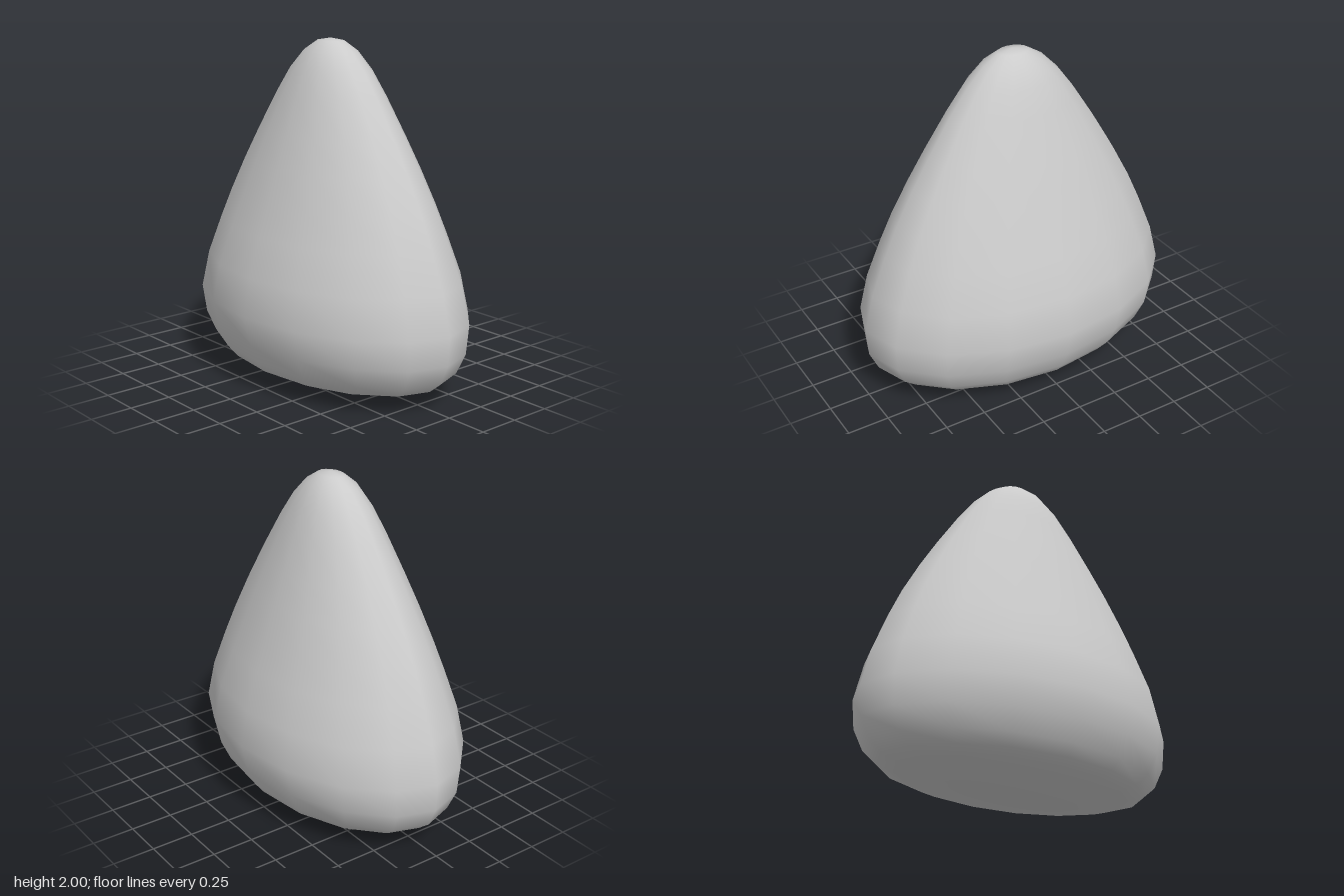
import * as THREE from 'three';
import { mergeVertices } from 'three/addons/utils/BufferGeometryUtils.js';

// Rings from base to tip: height, half width (x), half depth (z)
const RINGS = [
  [0, 0, 0], [0.006, 0.18, 0.1], [0.015, 0.38, 0.21], [0.04, 0.58, 0.335],
  [0.07, 0.73, 0.43], [0.105, 0.845, 0.5], [0.17, 0.925, 0.55], [0.29, 0.98, 0.605],
  [0.46, 0.99, 0.64], [0.68, 0.935, 0.6], [0.905, 0.845, 0.525], [1.08, 0.765, 0.465],
  [1.28, 0.655, 0.397], [1.46, 0.545, 0.332], [1.68, 0.4, 0.252], [1.825, 0.29, 0.195],
  [1.93, 0.185, 0.132], [1.985, 0.095, 0.067], [2, 0, 0],
];

// Sixteen-sided lathe, flattened in depth ring by ring
function bodyGeometry() {
  const profile = RINGS.map(([y, rx]) => new THREE.Vector2(rx, y));
  const lathe = new THREE.LatheGeometry(profile, 16);
  const pos = lathe.attributes.position;
  for (let i = 0; i < pos.count; i++) {
    const [, rx, rz] = RINGS[i % RINGS.length];
    if (rx === 0) continue;
    const s = pos.getZ(i) / rx;
    // slightly pinched ellipse
    pos.setZ(i, Math.sign(s) * Math.pow(Math.abs(s), 1.06) * rz);
  }
  // weld the seam and poles so the shading stays smooth
  lathe.deleteAttribute('normal');
  lathe.deleteAttribute('uv');
  const geometry = mergeVertices(lathe, 1e-4);
  geometry.computeVertexNormals();
  return geometry;
}

export function createModel() {
  const group = new THREE.Group();
  group.name = 'roundedCone';
  const body = new THREE.Mesh(bodyGeometry(), new THREE.MeshStandardMaterial({ color: 0xcccccc }));
  body.name = 'body';
  group.add(body);
  return group;
}
